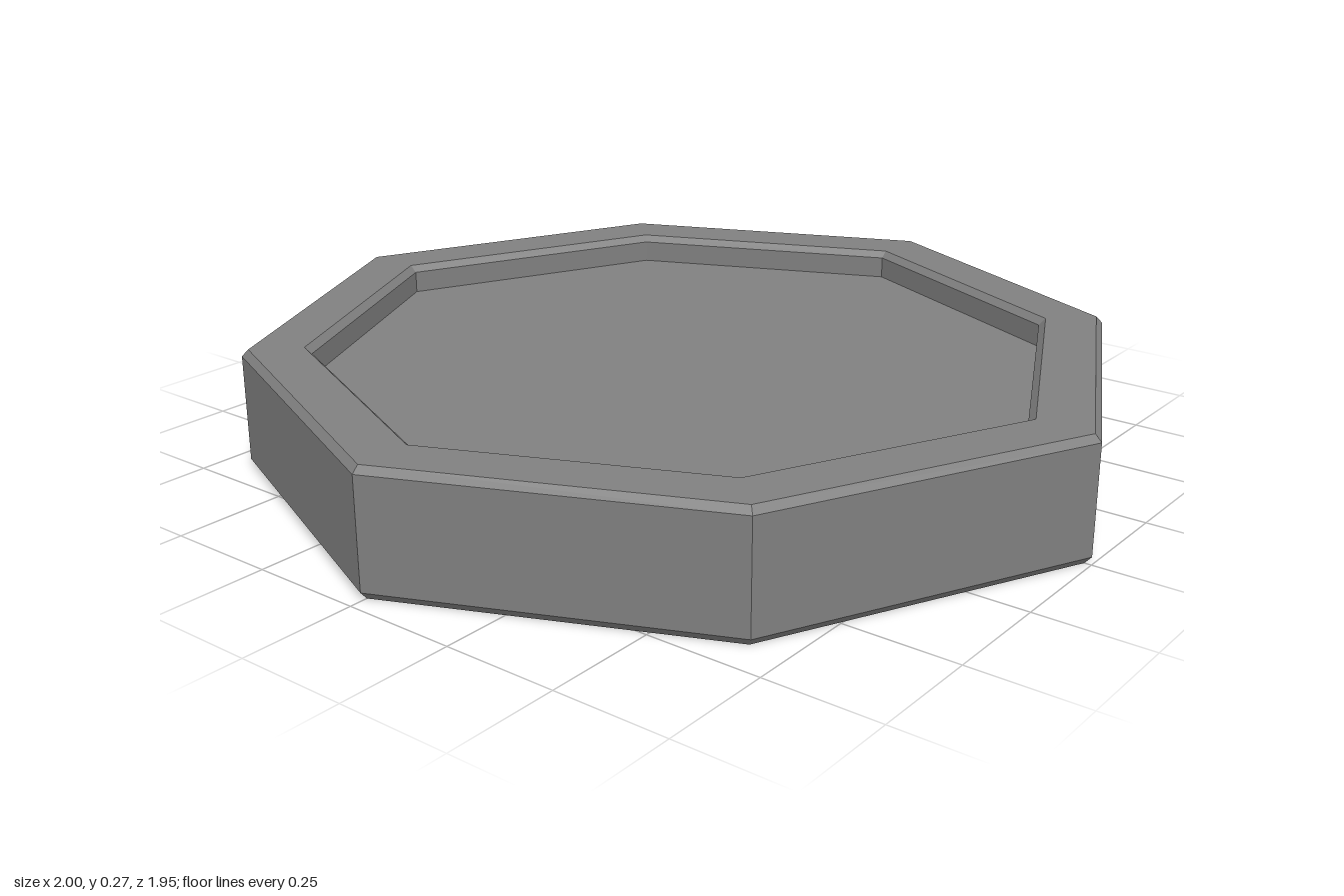
import * as THREE from 'three';

const SIDES = 8;

// Pull the regular octagon into its slightly uneven outline
function shapeOutline(geometry) {
  const p = geometry.attributes.position;
  for (let i = 0; i < p.count; i++) {
    const x = p.getX(i), z = p.getZ(i);
    const diagonal = Math.abs(x) > 0.01 && Math.abs(z) > 0.01;
    p.setX(i, x * (diagonal ? 0.957 : 1));
    p.setZ(i, z * (diagonal ? 0.957 : 0.974));
  }
  const flat = geometry.toNonIndexed();
  flat.computeVertexNormals();
  return flat;
}

export function createModel() {
  const group = new THREE.Group();
  const grey = new THREE.MeshStandardMaterial({ color: 0x808080, flatShading: true });
  grey.name = 'grey';

  function add(name, geometry) {
    const mesh = new THREE.Mesh(shapeOutline(geometry), grey);
    mesh.name = name;
    group.add(mesh);
  }

  // Bevelled rim, from the underside recess round the outside to the top recess
  const profile = [
    [0.845, 0.055], [0.845, 0], [0.985, 0], [1, 0.017], [1, 0.255],
    [0.985, 0.27], [0.861, 0.27], [0.845, 0.255], [0.845, 0.205],
  ].map(([r, y]) => new THREE.Vector2(r, y));
  add('rim', new THREE.LatheGeometry(profile, SIDES));

  // Recessed panels on the top and the underside
  add('topPanel', new THREE.CircleGeometry(0.845, SIDES).rotateX(-Math.PI / 2).translate(0, 0.205, 0));
  add('undersidePanel', new THREE.CircleGeometry(0.845, SIDES).rotateX(Math.PI / 2).translate(0, 0.055, 0));

  return group;
}
